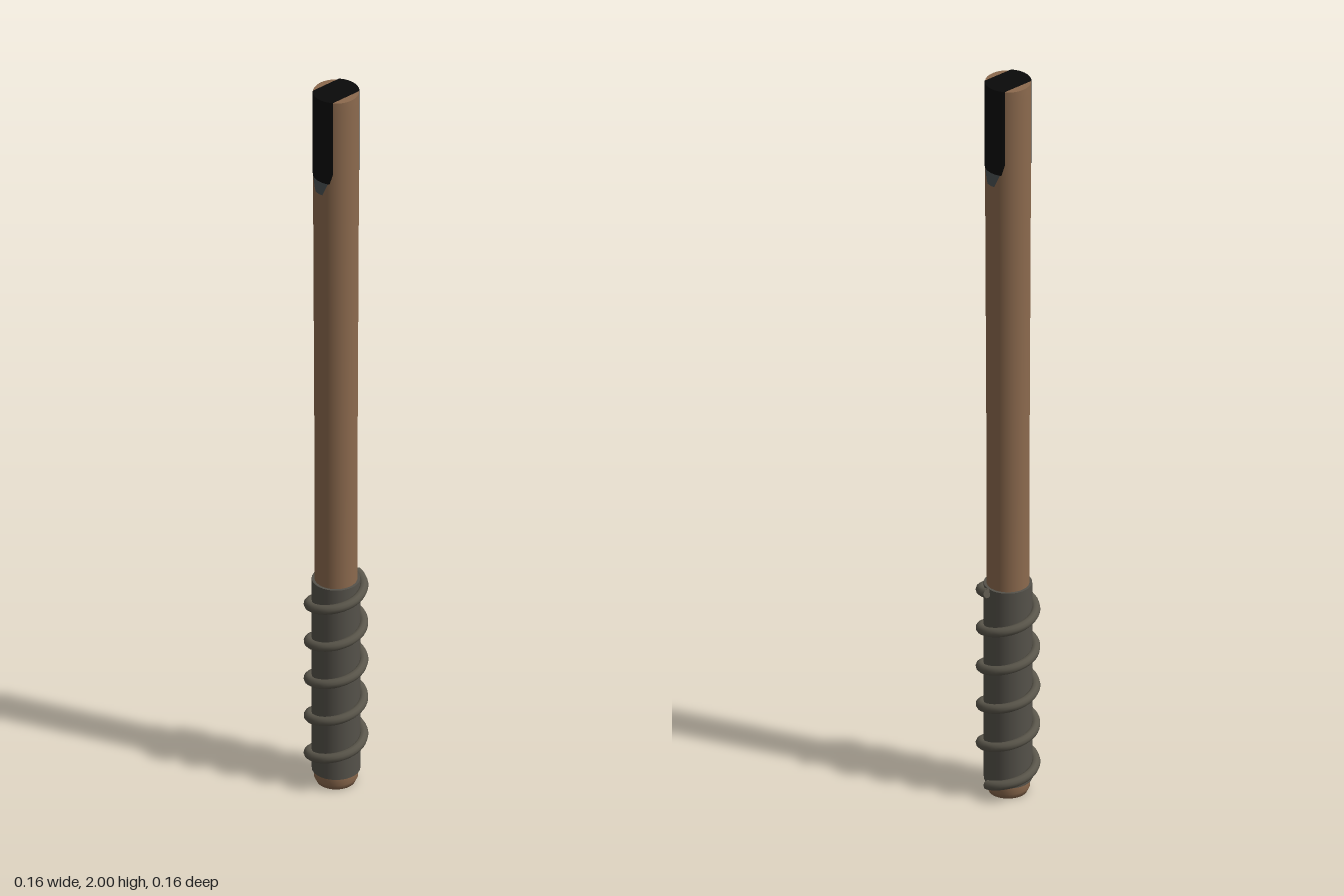
import * as THREE from 'three';

const mat = (name, color, side = THREE.FrontSide) => {
  const m = new THREE.MeshStandardMaterial({ color, side });
  m.name = name;
  return m;
};

export function createModel() {
  const wood = mat('wood', 0x8c6a4e);
  const wrap = mat('gripWrap', 0x55524a);
  const cord = mat('cord', 0x5a564b);
  const black = mat('black', 0x0a0a0a, THREE.DoubleSide);
  const steel = mat('steelGrey', 0x4c5254, THREE.DoubleSide);

  const group = new THREE.Group();
  const add = (name, geometry, material) => {
    const mesh = new THREE.Mesh(geometry, material);
    mesh.name = name;
    group.add(mesh);
    return mesh;
  };

  // Wooden shaft, slightly flared at the head, with a bevelled foot
  const rodRadius = y => 0.053 + 0.004 * THREE.MathUtils.smoothstep(y, 0.7, 1.95);
  const profile = [[0, 0], [0.048, 0], [0.055, 0.015], [0.055, 0.036], [0.053, 0.06]];
  for (let y = 0.6; y < 1.95; y += 0.15) profile.push([rodRadius(y), y]);
  profile.push([0.057, 1.97], [0.057, 1.998], [0.0565, 1.998], [0, 1.998]);
  add('shaft', new THREE.LatheGeometry(profile.map(p => new THREE.Vector2(...p)), 40), wood);

  // Grip sleeve
  const sleeve = new THREE.CylinderGeometry(0.06, 0.06, 0.55, 40);
  sleeve.translate(0, 0.31, 0);
  add('gripSleeve', sleeve, wrap);

  // Cord spiralling five turns up the grip
  class Helix extends THREE.Curve {
    getPoint(t, target = new THREE.Vector3()) {
      const a = t * 10 * Math.PI;
      return target.set(0.068 * Math.cos(a), 0.037 + 0.54 * t, -0.068 * Math.sin(a));
    }
  }
  const helix = new Helix();
  add('gripCord', new THREE.TubeGeometry(helix, 200, 0.012, 10), cord);
  for (const t of [0, 1]) {
    const end = new THREE.CircleGeometry(0.012, 10);
    const cap = add('cordEnd', end, cord);
    cap.position.copy(helix.getPoint(t));
    cap.lookAt(cap.position.clone().addScaledVector(helix.getTangent(t), t ? 1 : -1));
  }

  // Thin plate bent round the shaft on the +x side; halfAngle varies with height
  const bentPlate = (y0, y1, offset, halfAngle) => {
    const g = new THREE.PlaneGeometry(2, 1, 14, 8);
    const p = g.attributes.position;
    for (let i = 0; i < p.count; i++) {
      const v = p.getY(i) + 0.5, y = y0 + (y1 - y0) * v;
      const a = p.getX(i) * halfAngle(v), r = rodRadius(y) + offset;
      p.setXYZ(i, r * Math.cos(a), y, -r * Math.sin(a));
    }
    g.computeVertexNormals();
    return g;
  };

  // Dark inlays on both sides of the head, each with a grey tip below
  for (const angle of [0, Math.PI]) {
    add('headInlay', bentPlate(1.762, 2, 0.0012, v => 0.72 - 0.15 * Math.max(0, 1 - v * 8)), black).rotation.y = angle;
    add('inlayTip', bentPlate(1.725, 1.765, 0.0008, v => 0.22 + 0.3 * v), steel).rotation.y = angle;
  }

  // Dark band across the end of the head, joining the inlays
  const a = 0.72, r = 0.0582;
  const band = new THREE.Shape();
  band.absarc(0, 0, r, -a, a, false);
  band.absarc(0, 0, r, Math.PI - a, Math.PI + a, false);
  const bandGeo = new THREE.ShapeGeometry(band, 14);
  bandGeo.rotateX(-Math.PI / 2);
  bandGeo.translate(0, 2, 0);
  add('headEndBand', bandGeo, black);

  return group;
}
